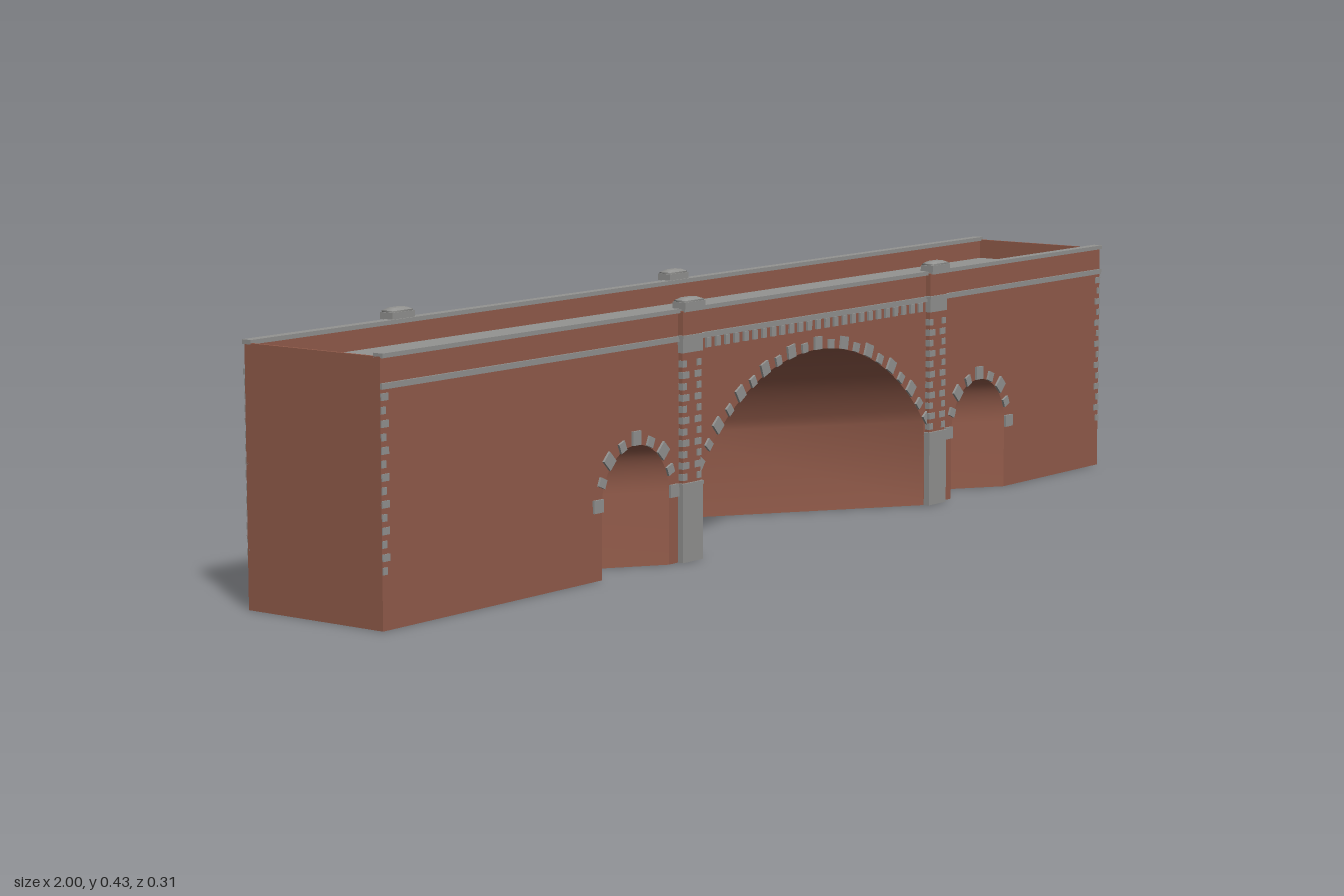
import * as THREE from 'three';
import { mergeGeometries, toCreasedNormals } from 'three/addons/utils/BufferGeometryUtils.js';

const FACE = 0.137;   // half width of the bridge body
const SKEW = -0.39;   // sideways shift of the openings from front to back
const TOP = 0.372;    // road level
const PILASTERS = [-0.262, 0.447];
const MAIN = { x: 0.096, y: -0.094, r: 0.404, half: 0.322 };
const SMALL = [-0.398, 0.592].map(x => ({ x, y: 0.12, r: 0.086, half: 0.086 }));

export function createModel() {
  const brick = new THREE.MeshStandardMaterial({ color: 0x935c4b });
  brick.name = 'brick';
  const stone = new THREE.MeshStandardMaterial({ color: 0x939391 });
  stone.name = 'stone';
  const model = new THREE.Group();
  model.name = 'skewBridge';

  const add = (name, geometries, material) => {
    const mesh = new THREE.Mesh(mergeGeometries(geometries.map(g => g.index ? g.toNonIndexed() : g)), material);
    mesh.name = name;
    model.add(mesh);
  };
  // box given by its centre, size and roll about z
  const box = (x, y, z, w, h, d, roll = 0) =>
    new THREE.BoxGeometry(w, h, d).rotateZ(roll).translate(x, y, z);

  add('body', [bodyGeometry()], brick);
  add('roadDeck', [box(0, TOP, 0, 1.99, 0.006, 0.256)], stone);
  add('endWalls', [-1, 1].map(s => box(s * 0.9975, 0.39, 0, 0.005, 0.04, 2 * FACE)), brick);

  for (const side of [1, -1]) {
    const label = side > 0 ? 'front' : 'back';
    const shift = side > 0 ? 0 : SKEW;
    // block standing out of the side wall by the given amount
    const relief = (x, y, w, h, out, roll = 0) =>
      box(x, y, side * (FACE + out / 2 - 0.002), w, h, out + 0.004, roll);

    // parapet, coping and string course
    add(label + 'Parapet', [box(0, 0.39, side * 0.132, 2, 0.04, 0.01)], brick);
    add(label + 'Coping', [box(0, 0.4115, side * 0.133, 2, 0.007, 0.018)], stone);
    add(label + 'StringCourse', [relief(0, 0.366, 2, 0.009, 0.004)], stone);

    // corner quoins at both ends
    const quoins = [];
    for (let i = 0; i < 14; i++) {
      const w = i % 2 ? 0.016 : 0.01;
      for (const s of [-1, 1]) quoins.push(relief(s * (1 - w / 2), 0.09 + i * 0.02, w, 0.011, 0.002));
    }
    add(label + 'CornerQuoins', quoins, stone);

    // dentils over the main arch
    const dentils = [];
    for (let i = 0; i < 25; i++) dentils.push(relief(shift + MAIN.x + (i - 12) * 0.0255, 0.353, 0.012, 0.016, 0.004));
    add(label + 'Dentils', dentils, stone);

    // arch stones, alternating large and small
    const ring = (arch, n, width, height) => {
      const sweep = Math.asin(arch.half / arch.r);
      const blocks = [];
      for (let i = 0; i < n; i++) {
        const a = sweep * (2 * i / (n - 1) - 1);
        const big = (i - (n - 1) / 2) % 2 === 0 ? 1 : 0.72;
        const r = arch.r + height * big / 2;
        blocks.push(relief(shift + arch.x + r * Math.sin(a), arch.y + r * Math.cos(a),
          width * big, height * big, 0.004, -a));
      }
      return blocks;
    };
    add(label + 'MainArchStones', ring(MAIN, 21, 0.021, 0.022), stone);
    add(label + 'SmallArchStones', SMALL.flatMap(a => ring(a, 9, 0.021, 0.023)), stone);

    // pilasters
    for (const px of PILASTERS) {
      const x = px + shift;
      add(label + 'PilasterShaft', [relief(x, 0.235, 0.047, 0.23, 0.008), relief(x, 0.39, 0.05, 0.042, 0.01)], brick);
      const trim = [
        relief(x, 0.062, 0.053, 0.124, 0.011),
        relief(x, 0.127, 0.056, 0.006, 0.012),
        relief(x, 0.355, 0.052, 0.024, 0.011),
        relief(x, 0.369, 0.056, 0.005, 0.013),
      ];
      for (let i = 0; i < 11; i++) {
        const w = i % 2 ? 0.017 : 0.011;
        for (const s of [-1, 1]) trim.push(relief(x + s * (0.0245 - w / 2), 0.14 + i * 0.0185, w, 0.011, 0.0095));
      }
      add(label + 'PilasterTrim', trim, stone);

      // cap block with a bevelled, domed top
      const cap = [box(x, 0.42, side * 0.14, 0.053, 0.011, 0.026), box(x, 0.4125, side * 0.14, 0.046, 0.006, 0.02)];
      for (const [y, h, r0, r1] of [[0.4255, 0.005, 0.9, 0.9], [0.43, 0.004, 0.9, 0.5]]) {
        cap.push(new THREE.CylinderGeometry(r1 * Math.SQRT1_2, r0 * Math.SQRT1_2, h, 4)
          .rotateY(Math.PI / 4).scale(0.053, 1, 0.026).translate(x, y, side * 0.14));
      }
      add(label + 'PilasterCap', cap, stone);
    }
  }
  return model;
}

// outline of one side wall with the three openings cut from its foot
function outline(shift) {
  const pts = [[-1, 0]];
  for (const a of [SMALL[0], MAIN, SMALL[1]]) {
    const sweep = Math.asin(a.half / a.r);
    pts.push([a.x + shift - a.half, 0]);
    for (let i = 0; i <= 28; i++) {
      const t = sweep * (i / 14 - 1);
      pts.push([a.x + shift + a.r * Math.sin(t), a.y + a.r * Math.cos(t)]);
    }
    pts.push([a.x + shift + a.half, 0]);
  }
  pts.push([1, 0], [1, TOP], [-1, TOP]);
  return pts.map(p => new THREE.Vector2(...p));
}

// side walls joined by skewed barrel vaults, ends and underside
function bodyGeometry() {
  const front = outline(0), back = outline(SKEW);
  const wall = pts => {
    const g = new THREE.ShapeGeometry(new THREE.Shape(pts)).toNonIndexed();
    g.deleteAttribute('uv');
    return g;
  };
  const frontWall = wall(front).translate(0, 0, FACE);
  const backWall = wall(back.map(p => new THREE.Vector2(-p.x, p.y)).reverse())
    .rotateY(Math.PI).translate(0, 0, -FACE);
  const v = [];
  front.forEach((p, i) => {
    const j = (i + 1) % front.length;
    const a = [p.x, p.y, FACE], b = [front[j].x, front[j].y, FACE];
    const c = [back[j].x, back[j].y, -FACE], d = [back[i].x, back[i].y, -FACE];
    v.push(...a, ...d, ...b, ...b, ...d, ...c);
  });
  const skin = new THREE.BufferGeometry();
  skin.setAttribute('position', new THREE.Float32BufferAttribute(v, 3));
  skin.computeVertexNormals();
  return mergeGeometries([frontWall, backWall, toCreasedNormals(skin, 0.5)]);
}
